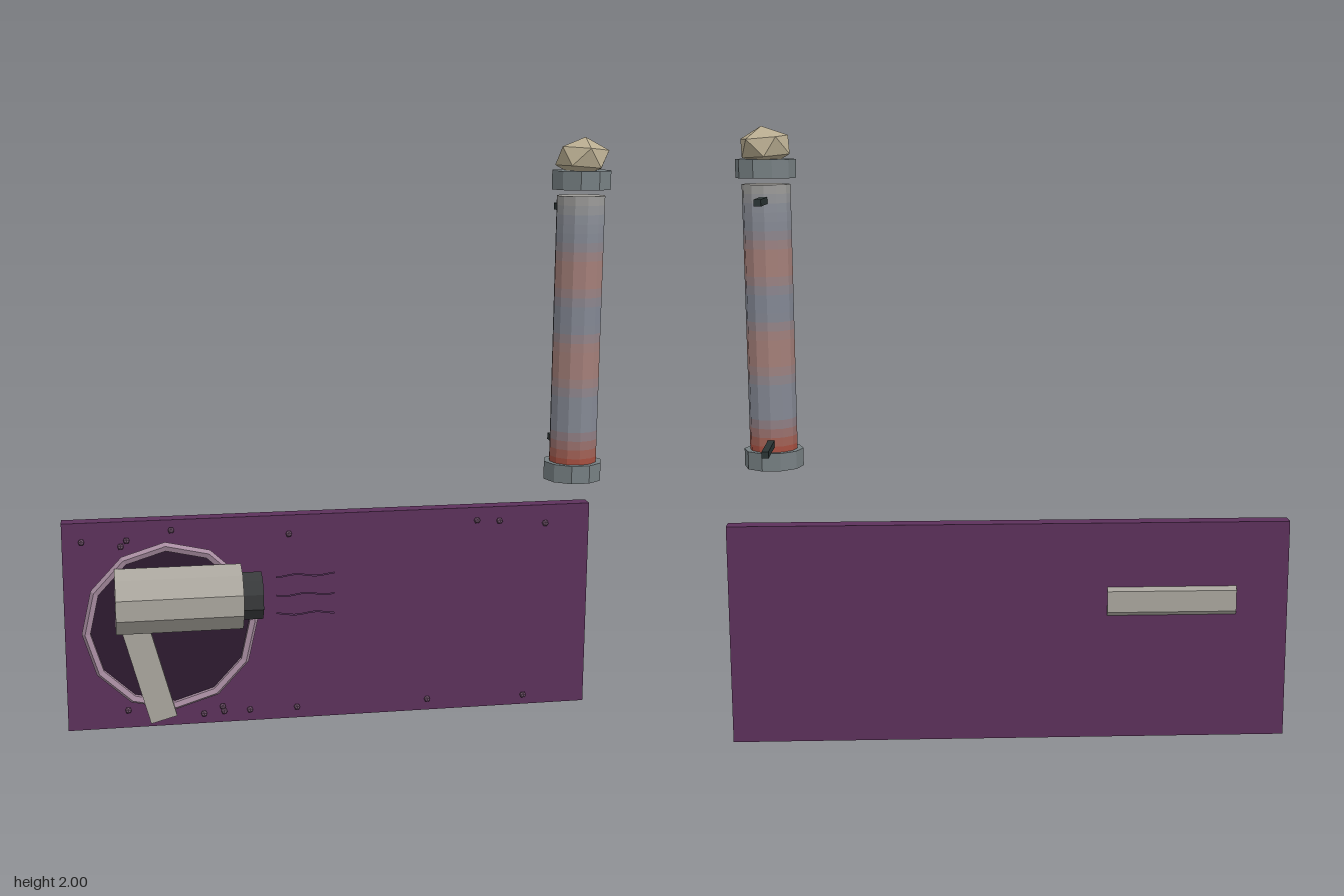
import * as THREE from 'three';

const mat = (color, extra = {}) =>
  new THREE.MeshStandardMaterial({ color, flatShading: true, ...extra });

function add(parent, name, geometry, material, x, y, z) {
  const mesh = new THREE.Mesh(geometry, material);
  mesh.name = name;
  mesh.position.set(x, y, z);
  parent.add(mesh);
  return mesh;
}

// Wall board with its small rivets
function makeBoard() {
  const g = new THREE.Group();
  g.name = 'board';
  add(g, 'panel', new THREE.BoxGeometry(1.83, 0.735, 0.052), mat(0x5c315b), 0, 0.3675, -0.144);
  const rivet = new THREE.IcosahedronGeometry(0.012, 0);
  const rivetMat = mat(0x6d5068);
  const spots = [
    [-0.85, 0.67], [-0.72, 0.65], [-0.7, 0.67], [-0.55, 0.7], [-0.15, 0.67], [0.51, 0.69], [0.59, 0.685], [0.755, 0.67],
    [-0.71, 0.065], [-0.45, 0.037], [-0.385, 0.06], [-0.38, 0.042], [-0.29, 0.042], [-0.125, 0.042], [0.34, 0.042], [0.69, 0.037],
  ];
  spots.forEach(([x, y]) => add(g, 'rivet', rivet, rivetMat, x, y, -0.112));
  return g;
}

// Round dark emblem with a faceted rim
function makeEmblem() {
  const g = new THREE.Group();
  g.name = 'emblem';
  g.position.set(-0.56, 0.367, 0);
  const disc = new THREE.CylinderGeometry(0.285, 0.285, 0.025, 12).rotateX(Math.PI / 2);
  add(g, 'disc', disc, mat(0x2d1a30), 0, 0, -0.109);
  const rim = add(g, 'rim', new THREE.TorusGeometry(0.283, 0.016, 5, 12), mat(0xa78ca0), 0, 0, -0.09);
  rim.rotation.z = 0.04;
  return g;
}

// Hair dryer: barrel, nozzle, handle and three air wisps
function makeDryer() {
  const g = new THREE.Group();
  g.name = 'dryer';
  const shell = mat(0xaaa69e);
  const tube = (r, len) => new THREE.CylinderGeometry(r, r, len, 10)
    .rotateY(Math.PI / 2).rotateZ(Math.PI / 2);
  const barrel = tube(0.115, 0.425);
  const nozzle = tube(0.084, 0.07);
  add(g, 'barrel', barrel, shell, -0.532, 0.47, -0.07);
  add(g, 'nozzle', nozzle, mat(0x383a3b), -0.285, 0.47, -0.07);
  const handle = add(g, 'handle', new THREE.BoxGeometry(0.092, 0.38, 0.022), shell, -0.64, 0.23, -0.065);
  handle.rotation.z = 0.265;

  const wispMat = mat(0x56335a, { side: THREE.DoubleSide });
  for (let i = 0; i < 3; i++) {
    const ribbon = new THREE.PlaneGeometry(0.2, 0.006, 16, 1);
    const p = ribbon.attributes.position;
    for (let k = 0; k < p.count; k++) {
      p.setY(k, p.getY(k) + 0.004 * Math.sin(p.getX(k) * 45 + i * 1.5));
    }
    ribbon.computeVertexNormals();
    add(g, 'airWisp', ribbon, wispMat, -0.1, 0.4 + i * 0.068, -0.065);
  }
  return g;
}

// Striped pole with collars, finial and wall brackets
function makePole() {
  const g = new THREE.Group();
  g.name = 'stripedPole';
  g.position.set(0.782, 0, 0.086);

  // Soft stripes: short bands whose colours blend between height stops
  const stops = [
    [0.94, 0xa64c3c], [0.985, 0xa0675c], [1.06, 0x858994], [1.16, 0x858994], [1.23, 0xa47f79], [1.32, 0xa47f79],
    [1.39, 0x838894], [1.46, 0x838894], [1.53, 0xa47f79], [1.6, 0xa47f79], [1.67, 0x858994],
    [1.74, 0x8b8f98], [1.815, 0xa09e9a],
  ];
  const colorAt = (y) => {
    const i = Math.max(1, stops.findIndex((s) => s[0] >= y));
    const [a, b] = [stops[i - 1], stops[i]];
    return new THREE.Color(a[1]).lerp(new THREE.Color(b[1]), (y - a[0]) / (b[0] - a[0]));
  };
  const bands = 30;
  const h = (1.815 - 0.93) / bands;
  const bandGeo = new THREE.CylinderGeometry(0.079, 0.079, h, 12, 1, true);
  for (let i = 0; i < bands; i++) {
    const y = 0.93 + (i + 0.5) * h;
    add(g, 'poleBand', bandGeo, mat(colorAt(Math.max(y, 0.945))), 0, y, 0);
  }
  const lid = new THREE.CircleGeometry(0.079, 12).rotateX(-Math.PI / 2);
  add(g, 'poleTop', lid, mat(0xa09e9a), 0, 1.815, 0);

  // Collars at both ends
  const collar = new THREE.CylinderGeometry(0.098, 0.098, 0.06, 10).rotateY(Math.PI / 2);
  const metal = mat(0x778083);
  add(g, 'bottomCollar', collar, metal, 0, 0.91, 0);
  add(g, 'topCollar', collar, metal, 0, 1.865, 0);

  // Flattened faceted finial
  const gem = new THREE.IcosahedronGeometry(0.091, 0).rotateZ(0.5536 - 0.12).rotateY(0.3).scale(1, 0.72, 1);
  add(g, 'finial', gem, mat(0xb8ac90), 0, 1.935, 0);

  // Brackets reaching back
  const bracket = new THREE.BoxGeometry(0.022, 0.022, 0.2);
  [0.97, 1.766].forEach((y) => add(g, 'bracket', bracket, mat(0x2b3434), 0, y, -0.156));
  return g;
}

export function createModel() {
  const model = new THREE.Group();
  model.name = 'salonSign';
  model.add(makeBoard(), makeEmblem(), makeDryer(), makePole());
  return model;
}
